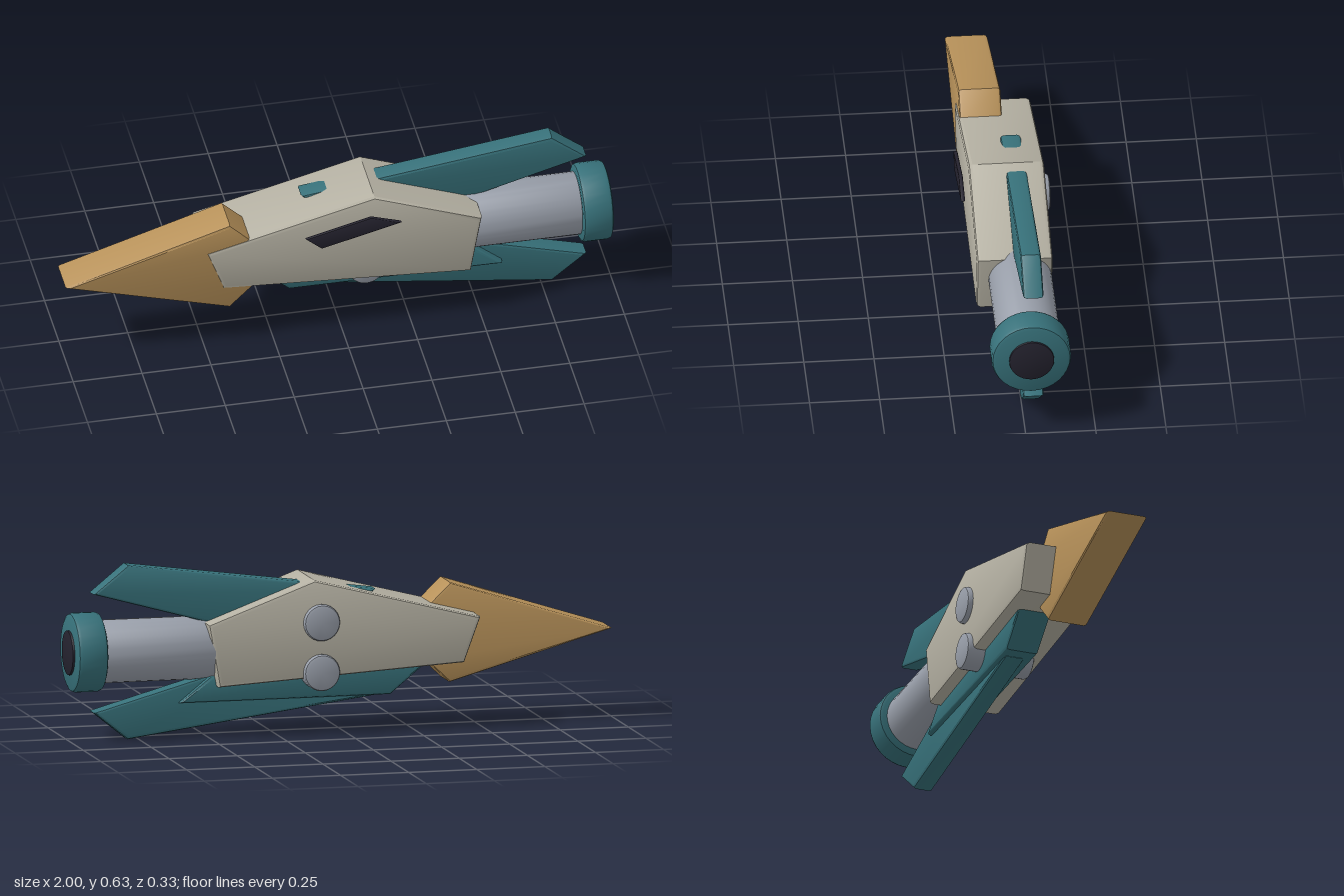
import * as THREE from 'three';
import { toCreasedNormals } from 'three/addons/utils/BufferGeometryUtils.js';

const mat = (name, color) => {
  const m = new THREE.MeshStandardMaterial({ color });
  m.name = name;
  return m;
};

export function createModel() {
  const model = new THREE.Group();
  model.name = 'dartShip';
  const cream = mat('cream hull', 0xb5b1a3);
  const teal = mat('teal trim', 0x37717a);
  const gold = mat('ochre nose', 0xb8925a);
  const metal = mat('grey metal', 0x989ea9);
  const dark = mat('dark glass', 0x24222e);
  const axisY = 0.315, axisZ = -0.022;

  const add = (name, geometry, material) => {
    const mesh = new THREE.Mesh(geometry, material);
    mesh.name = name;
    model.add(mesh);
    return mesh;
  };

  // Side outline extruded between two depths, with bevelled rims
  const slab = (name, points, z0, z1, bevel, material) => {
    const shape = new THREE.Shape(points.map(([x, y]) => new THREE.Vector2(x, y)));
    const geometry = new THREE.ExtrudeGeometry(shape, {
      depth: z1 - z0 - 2 * bevel, bevelEnabled: true, bevelThickness: bevel,
      bevelSize: bevel, bevelOffset: -bevel, bevelSegments: 2,
    });
    geometry.translate(0, 0, z0 + bevel);
    return add(name, toCreasedNormals(geometry, 0.6), material);
  };

  // Bevelled disc along +y from a to b
  const drum = (radius, a, b, bevel, sides) => toCreasedNormals(new THREE.LatheGeometry([
    [0, a], [radius - bevel, a], [radius - bevel * 0.3, a + bevel * 0.3], [radius, a + bevel],
    [radius, b - bevel], [radius - bevel * 0.3, b - bevel * 0.3], [radius - bevel, b], [0, b],
  ].map(([r, y]) => new THREE.Vector2(r, y)), sides), 0.6);

  // Hull and nose
  slab('hull', [[-0.49, 0.4], [-0.43, 0.238], [0.47, 0.184], [0.51, 0.412], [0.12, 0.556]],
    -0.137, 0.133, 0.015, cream);
  slab('nose', [[-1, 0.32], [-0.405, 0.15], [-0.322, 0.23], [-0.322, 0.43], [-0.405, 0.51]],
    -0.024, 0.127, 0.012, gold);

  // Upper and lower fins, mirrored about the engine axis
  const fin = [[-0.12, 0.506], [0.1, 0.3], [0.915, 0.528], [0.79, 0.629]];
  slab('upperFin', fin, -0.072, 0.001, 0.012, teal);
  slab('lowerFin', fin.map(([x, y]) => [x, 2 * axisY - y]).reverse(), -0.072, 0.001, 0.012, teal);

  // Belly keel
  slab('keel', [[-0.32, 0.25], [-0.17, 0.127], [0.605, 0.127], [0.49, 0.22]],
    -0.09, 0.032, 0.012, teal);

  // Engine: barrel, end ring and dark nozzle
  const engine = [
    ['engineBarrel', drum(0.113, 0.35, 0.9, 0.004, 32), metal],
    ['engineRing', drum(0.142, 0.882, 0.992, 0.015, 32), teal],
    ['engineNozzle', drum(0.08, 0.95, 1.0, 0.003, 32), dark],
  ];
  for (const [name, geometry, material] of engine) {
    const part = add(name, geometry, material);
    part.rotation.z = -Math.PI / 2;
    part.position.set(0, axisY, axisZ);
  }

  // Two cross pins ending on the back of the hull
  for (const [name, y] of [['upperPin', 0.405], ['lowerPin', 0.225]]) {
    const pin = add(name, drum(0.066, -0.158, 0.1, 0.012, 24), metal);
    pin.rotation.x = Math.PI / 2;
    pin.position.set(0.097, y, 0);
  }

  // Side window standing off the hull
  slab('window', [[-0.137, 0.436], [-0.08, 0.387], [0.21, 0.461], [0.1, 0.497]],
    0.151, 0.166, 0.005, dark);

  return model;
}
